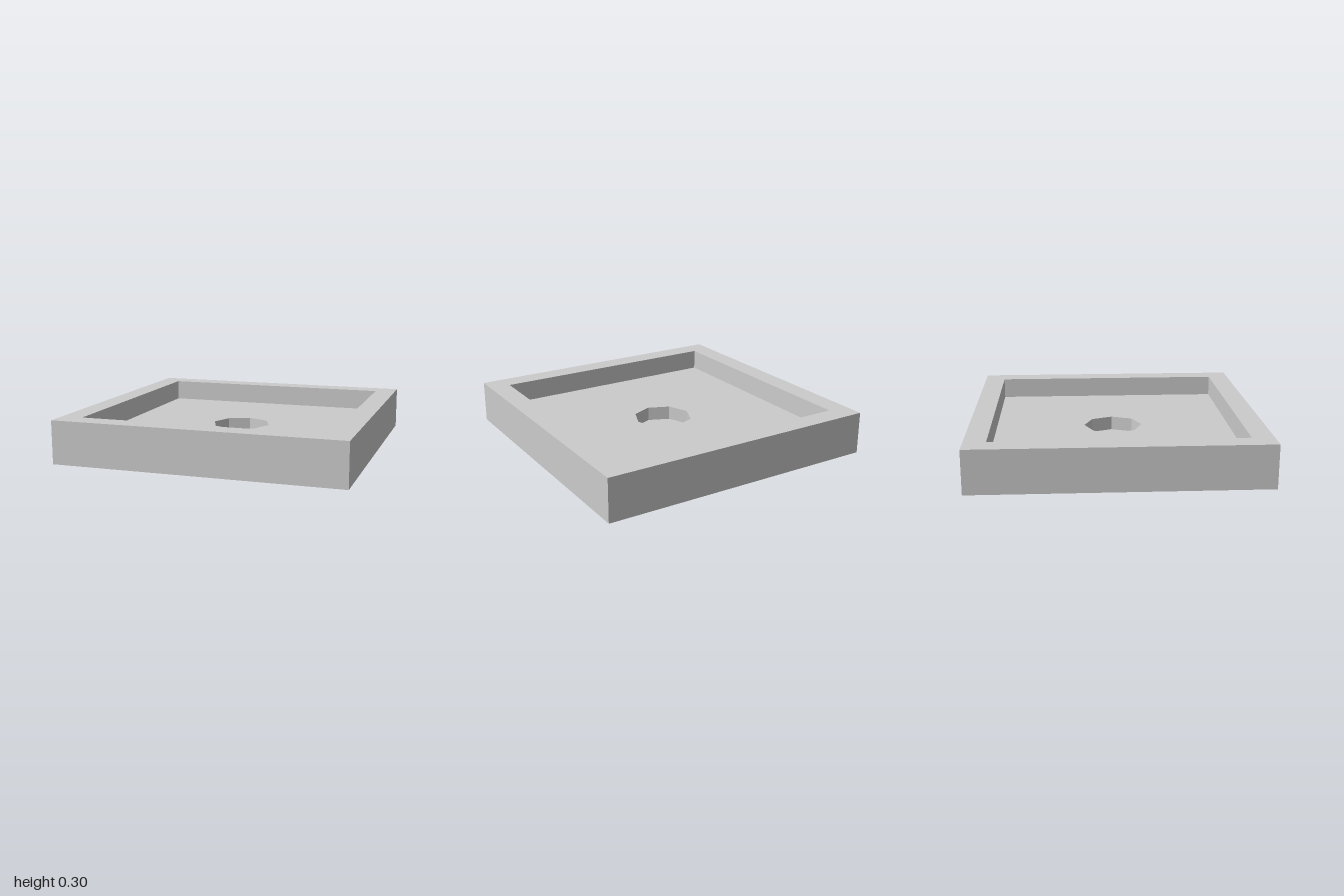
import * as THREE from 'three';

const TOP = 0.3, FLOOR = 0.15, WELL = 0.05; // heights of rim, tray floor and well bottom
const OUTER = { sides: 4, radius: Math.SQRT2, turn: Math.PI / 4 };
const RECESS = { sides: 4, radius: 0.85 * Math.SQRT2, turn: Math.PI / 4 };
const HOLE = { sides: 8, radius: 0.21, turn: 0 };

const material = new THREE.MeshStandardMaterial({ color: 0xcccccc, flatShading: true });

// Corners of a regular polygon outline
function corners({ sides, radius, turn }) {
  return Array.from({ length: sides }, (_, i) => {
    const a = turn + (i / sides) * Math.PI * 2;
    return new THREE.Vector2(Math.sin(a) * radius, Math.cos(a) * radius);
  });
}

// Flat horizontal face, optionally pierced, facing up or down
function face(outline, hole, y, up = true) {
  const shape = new THREE.Shape(corners(outline));
  if (hole) shape.holes.push(new THREE.Path(corners(hole)));
  return new THREE.ShapeGeometry(shape).rotateX(up ? -Math.PI / 2 : Math.PI / 2).translate(0, y, 0);
}

// Ring of upright faces, seen from outside or from inside
function walls({ sides, radius, turn }, y0, y1, inward = false) {
  let geo = new THREE.CylinderGeometry(radius, radius, y1 - y0, sides, 1, true, turn);
  if (inward) geo.scale(-1, 1, 1); // mirroring reverses the corner order
  geo = geo.toNonIndexed().translate(0, (y0 + y1) / 2, 0);
  geo.computeVertexNormals();
  return geo;
}

export function createModel() {
  const group = new THREE.Group();
  group.name = 'tray';
  const add = (name, geometry) => {
    const mesh = new THREE.Mesh(geometry, material);
    mesh.name = name;
    group.add(mesh);
  };

  // Square outer body
  add('outerWalls', walls(OUTER, 0, TOP));
  add('underside', face(OUTER, null, 0, false));
  add('rim', face(OUTER, RECESS, TOP));

  // Square recess
  add('recessWalls', walls(RECESS, FLOOR, TOP, true));
  add('recessFloor', face(RECESS, HOLE, FLOOR));

  // Octagonal well in the middle
  add('wellWalls', walls(HOLE, WELL, FLOOR, true));
  add('wellFloor', face(HOLE, null, WELL));

  return group;
}
